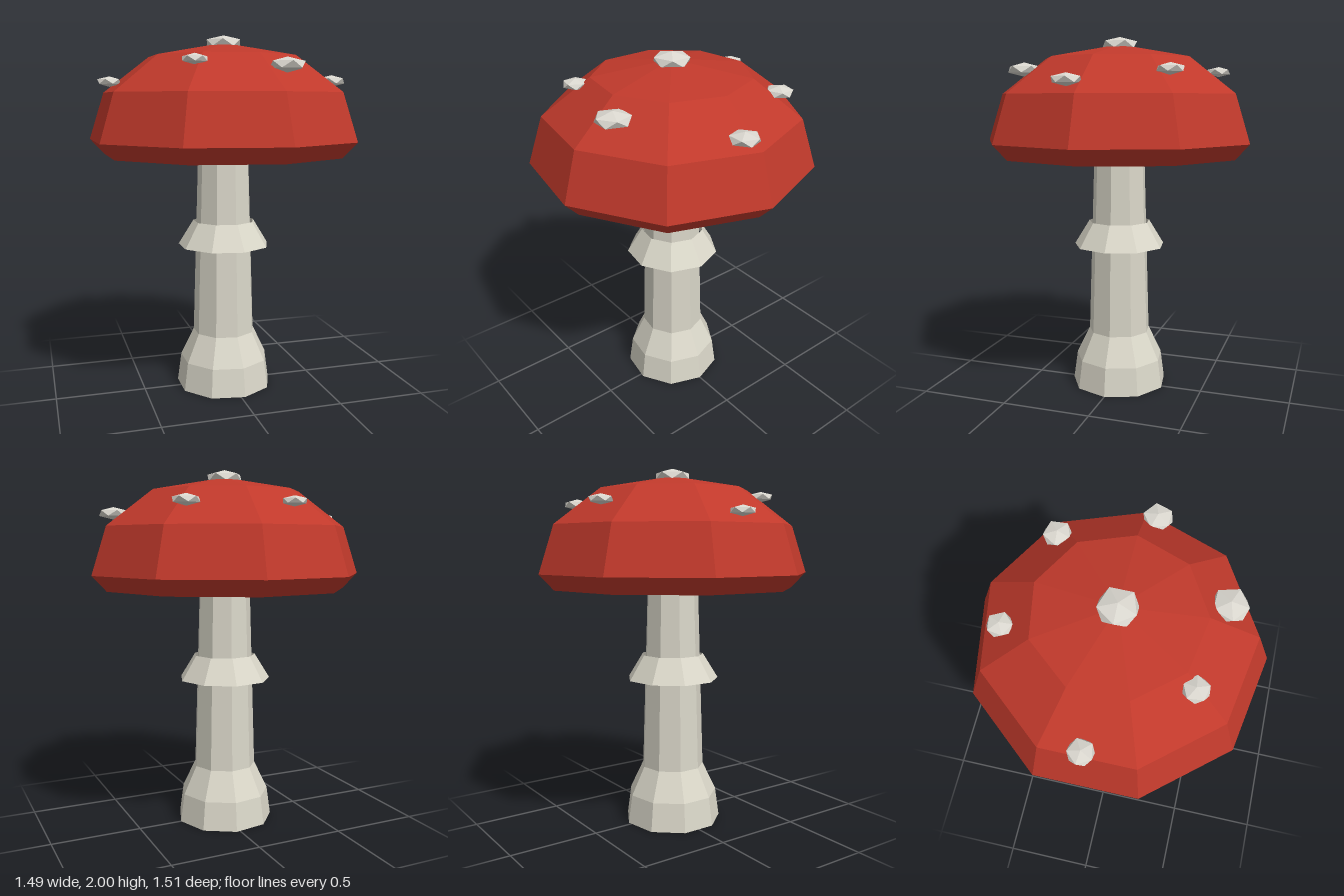
import * as THREE from 'three';

const SIDES = 9;
const AXIS_X = -0.026; // nine-sided rings sit slightly off so the bounds are centred

function faceted(geometry) {
  const g = geometry.index ? geometry.toNonIndexed() : geometry;
  g.computeVertexNormals();
  return g;
}

// Nine-sided turned surface with a corner pointing to +x; profile is [radius, y] pairs
function turned(name, profile, material) {
  const points = profile.map(([r, y]) => new THREE.Vector2(r, y));
  const mesh = new THREE.Mesh(faceted(new THREE.LatheGeometry(points, SIDES, Math.PI / 2)), material);
  mesh.name = name;
  mesh.position.x = AXIS_X;
  return mesh;
}

export function createModel() {
  const red = new THREE.MeshStandardMaterial({ color: 0xc0392b });
  red.name = 'capRed';
  const cream = new THREE.MeshStandardMaterial({ color: 0xdad7c9, side: THREE.DoubleSide });
  cream.name = 'stemCream';
  const white = new THREE.MeshStandardMaterial({ color: 0xdad7cf });
  white.name = 'spotWhite';

  const model = new THREE.Group();
  model.name = 'mushroom';

  // Stem with flared foot, open underneath
  model.add(turned('stem', [[0.276, 0], [0.254, 0.16], [0.178, 0.32], [0.146, 1.345]], cream));

  // Skirt around the stem
  model.add(turned('skirt', [[0.262, 0.828], [0.176, 0.968]], cream));

  // Cap and its flat underside
  model.add(turned('cap', [[0.685, 1.345], [0.766, 1.43], [0.681, 1.69], [0.42, 1.885], [0, 1.96]], red));
  model.add(turned('gills', [[0, 1.345], [0.685, 1.345]], cream));

  // Spots: flattened icosahedra standing on a corner
  const spotGeometry = new THREE.IcosahedronGeometry(1, 0);
  spotGeometry.rotateZ(-Math.atan(2 / (1 + Math.sqrt(5))));
  const spots = [ // x, y, z, radius, turn
    [AXIS_X, 1.958, 0, 0.108, 0.63],
    [0.595, 1.756, 0.065, 0.084, 0.3],
    [0.162, 1.822, 0.495, 0.1, 0.9],
    [-0.29, 1.848, 0.415, 0.072, 0.1],
    [-0.655, 1.746, -0.027, 0.071, 0.5],
    [-0.165, 1.808, -0.532, 0.07, 1.1],
    [0.362, 1.81, -0.39, 0.079, 0.7],
  ];
  for (const [x, y, z, r, turn] of spots) {
    const g = spotGeometry.clone().rotateY(turn).scale(r, r * 0.39, r);
    const spot = new THREE.Mesh(faceted(g), white);
    spot.name = 'spot';
    spot.position.set(x, y, z);
    model.add(spot);
  }
  return model;
}
